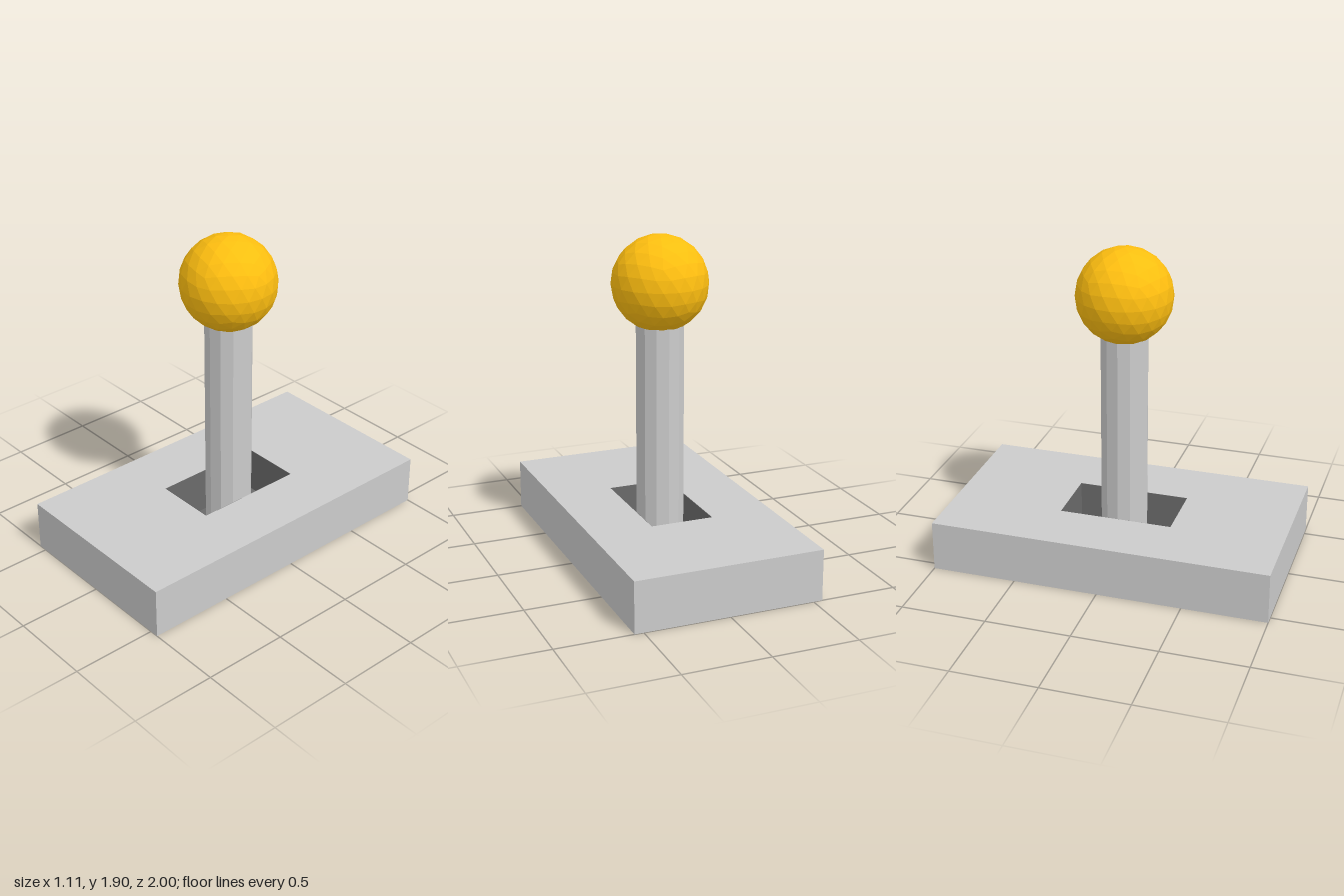
import * as THREE from 'three';

const grey = new THREE.MeshStandardMaterial({ color: 0xcccccc, flatShading: true });
const darkGrey = new THREE.MeshStandardMaterial({ color: 0x6a6a6a, flatShading: true });
const yellow = new THREE.MeshStandardMaterial({ color: 0xffbf10, flatShading: true });

const BASE = { w: 1.106, d: 2, h: 0.3 };
const SLOT = { w: 0.374, d: 0.67 };
const FLOOR = 0.02;

// Closed rectangle outline centred on the origin
function rectangle(PathType, w, d) {
  return new PathType([
    new THREE.Vector2(-w / 2, -d / 2),
    new THREE.Vector2(w / 2, -d / 2),
    new THREE.Vector2(w / 2, d / 2),
    new THREE.Vector2(-w / 2, d / 2),
  ]);
}

// Flat rectangular ring standing between two heights
function frame(w, d, holeW, holeD, y0, y1) {
  const shape = rectangle(THREE.Shape, w, d);
  shape.holes.push(rectangle(THREE.Path, holeW, holeD));
  return new THREE.ExtrudeGeometry(shape, { depth: y1 - y0, bevelEnabled: false })
    .rotateX(-Math.PI / 2)
    .translate(0, y0, 0);
}

export function createModel() {
  const model = new THREE.Group();
  model.name = 'lever';
  const add = (name, geometry, material) => {
    const mesh = new THREE.Mesh(geometry, material);
    mesh.name = name;
    model.add(mesh);
  };

  // Base block with a slot, closed underneath
  add('base', frame(BASE.w, BASE.d, SLOT.w, SLOT.d, FLOOR, BASE.h), grey);
  add('baseBottom', new THREE.BoxGeometry(BASE.w, FLOOR, BASE.d).translate(0, FLOOR / 2, 0), grey);

  // Dark lining of the slot
  add('slotWalls', frame(SLOT.w, SLOT.d, SLOT.w - 0.004, SLOT.d - 0.004, FLOOR, BASE.h - 0.001), darkGrey);
  add('slotFloor', new THREE.PlaneGeometry(SLOT.w, SLOT.d).rotateX(-Math.PI / 2).translate(0, FLOOR + 0.002, 0), darkGrey);

  // Twelve-sided shaft reaching from the slot floor into the knob
  const top = 1.5;
  add('shaft', new THREE.CylinderGeometry(0.139, 0.139, top - FLOOR, 12).translate(0, (top + FLOOR) / 2, 0), grey);

  // Faceted ball knob, turned so that a vertex is at the top
  const tilt = Math.atan(2 / (1 + Math.sqrt(5)));
  add('knob', new THREE.IcosahedronGeometry(0.279, 3).rotateZ(tilt).rotateY(Math.PI).translate(0, 1.62, 0), yellow);

  return model;
}
